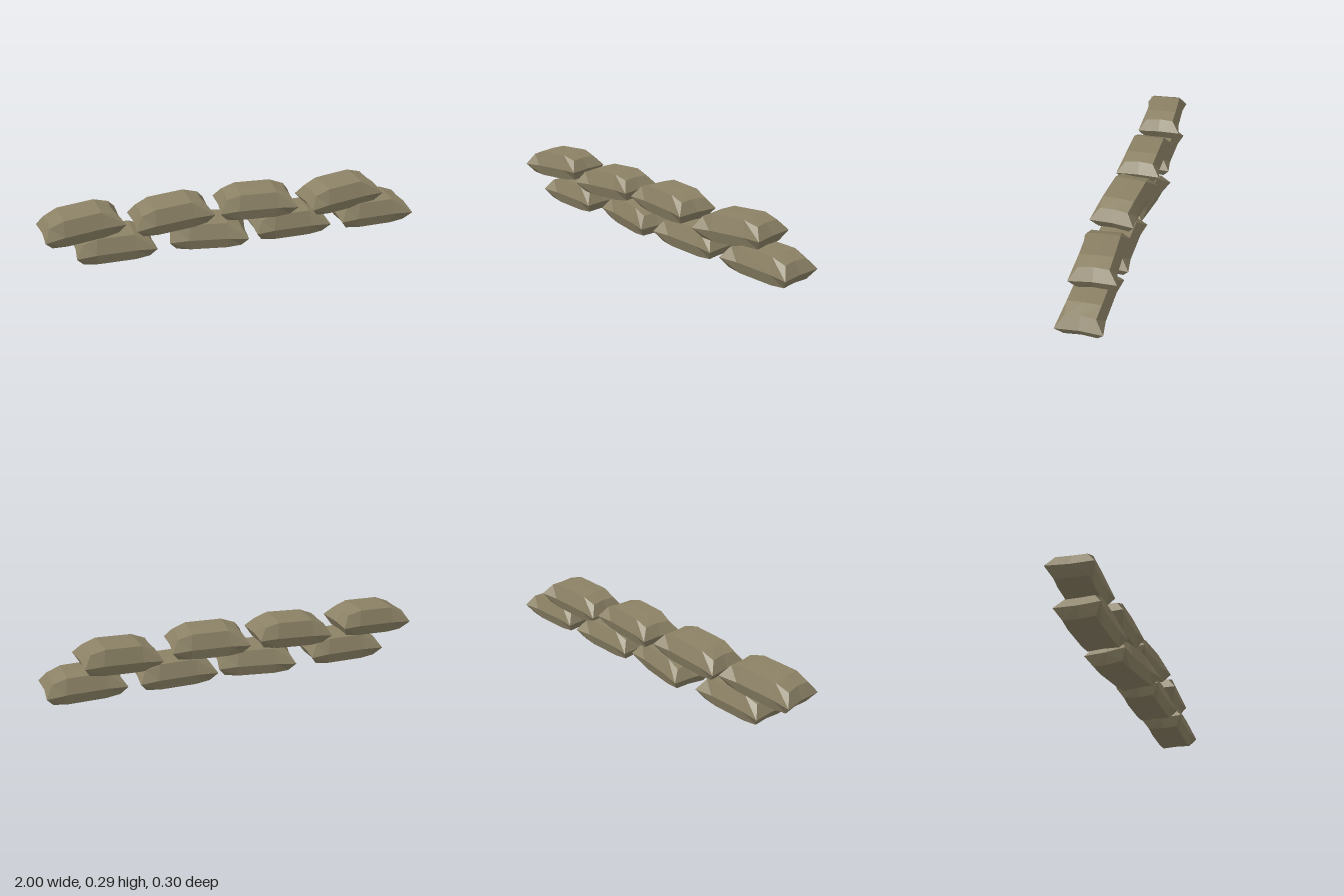
import * as THREE from 'three';

// Stuffed bag: four hexagonal cross-sections along x, pinched out to a sharp seam at y = 0
function bagGeometry() {
  // seam x, seam z, top x, top y, top z, bottom x, bottom y, bottom z
  const half = [
    [0.105, 0.102, 0.095, 0.081, 0.082, 0.095, -0.06, 0.082],
    [0.205, 0.115, 0.168, 0.056, 0.074, 0.17, -0.051, 0.08],
  ];
  const rings = [[-1, 1], [-1, 0], [1, 0], [1, 1]].map(([side, k]) => {
    const [sx, sz, tx, ty, tz, bx, by, bz] = half[k];
    const pinch = k ? 0.008 : 0;
    return [
      [sx, 0, -sz], [tx, ty, -tz], [tx - pinch, ty + 0.003, 0], [tx, ty, tz],
      [sx, 0, sz], [bx, by, bz], [bx - pinch, by, 0], [bx, by, -bz],
    ].map(([x, y, z]) => [x * side, y, z]);
  });
  const pos = [];
  const tri = (a, b, c) => pos.push(...a, ...b, ...c);
  const n = 8;
  for (let i = 0; i < 3; i++) {
    for (let j = 0; j < n; j++) {
      const k = (j + 1) % n;
      const [a, b, c, d] = [rings[i][j], rings[i][k], rings[i + 1][k], rings[i + 1][j]];
      tri(a, b, c);
      tri(a, c, d);
    }
  }
  // End caps fold around the middle of each end seam
  for (let j = 0; j < n; j++) {
    const k = (j + 1) % n;
    tri([0.196, 0, 0], rings[3][j], rings[3][k]);
    tri([-0.196, 0, 0], rings[0][k], rings[0][j]);
  }
  const geo = new THREE.BufferGeometry();
  geo.setAttribute('position', new THREE.Float32BufferAttribute(pos, 3));
  geo.computeVertexNormals();
  return geo;
}

export function createModel() {
  const model = new THREE.Group();
  model.name = 'sandbagWall';
  const burlap = new THREE.MeshStandardMaterial({ color: 0x8c8266 });
  burlap.name = 'burlap';
  burlap.flatShading = true;
  const geo = bagGeometry();

  // Each bag: x, seam height, yaw, tilt
  const rows = {
    lowerBag: [
      [-0.625, 0.061, -0.01, 0],
      [-0.128, 0.061, -0.17, 0],
      [0.315, 0.061, 0, 0],
      [0.79, 0.061, 0.015, 0],
    ],
    upperBag: [
      [-0.785, 0.197, 0.085, 0.07],
      [-0.322, 0.19, 0.03, 0.075],
      [0.132, 0.197, -0.085, 0],
      [0.605, 0.181, 0.085, 0.08],
    ],
  };
  for (const [name, bags] of Object.entries(rows)) {
    bags.forEach(([x, y, yaw, tilt], i) => {
      const bag = new THREE.Mesh(geo, burlap);
      bag.name = name + (i + 1);
      bag.position.set(x, y, 0);
      bag.rotation.set(0, yaw, tilt);
      model.add(bag);
    });
  }
  return model;
}
